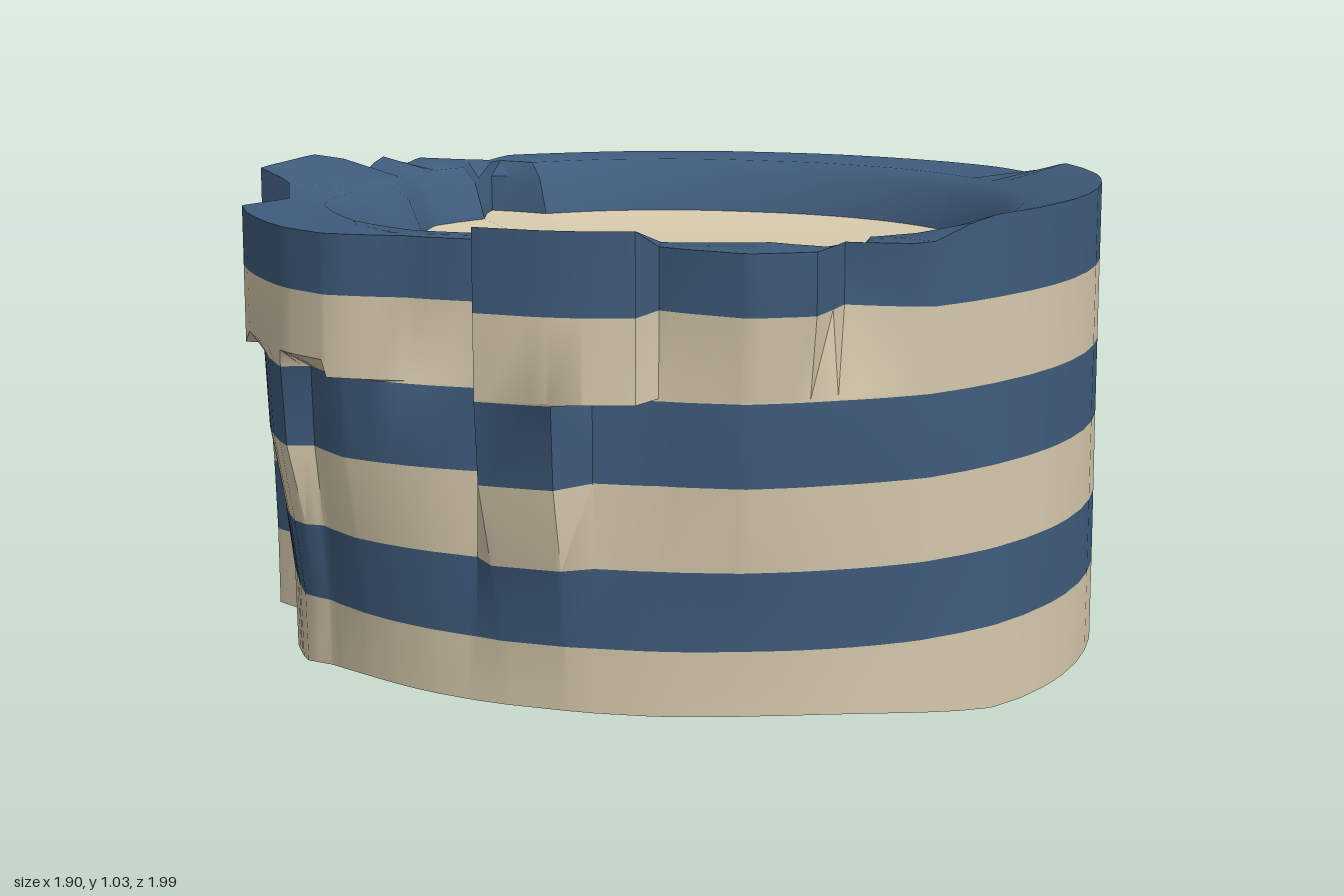
import * as THREE from 'three';
import { toCreasedNormals } from 'three/addons/utils/BufferGeometryUtils.js';

const TAU = Math.PI * 2;
const smooth = THREE.MathUtils.smoothstep;
const mix = THREE.MathUtils.lerp;

// Turns flat x, z pairs into sorted polar points [angle, radius]
function polar(flat) {
  const pts = [];
  for (let i = 0; i < flat.length; i += 2) {
    pts.push([(Math.atan2(flat[i + 1], flat[i]) + TAU) % TAU, Math.hypot(flat[i], flat[i + 1])]);
  }
  return pts.sort((a, b) => a[0] - b[0]);
}

// Radius of an outline at an angle
function radius(pts, t) {
  const n = pts.length;
  let i = pts.findIndex((p) => p[0] > t);
  if (i < 0) i = n;
  const [a0, r0] = i > 0 ? pts[i - 1] : [pts[n - 1][0] - TAU, pts[n - 1][1]];
  const [a1, r1] = i < n ? pts[i] : [pts[0][0] + TAU, pts[0][1]];
  return mix(r0, r1, (t - a0) / (a1 - a0));
}

// Outline pieces, as x, z pairs
const rightArc = [0.95, 0, 0.92, 0.25, 0.83, 0.48];
const backArc = [-0.5, -0.75, -0.25, -0.87, 0, -0.905, 0.3, -0.87, 0.6, -0.735, 0.79, -0.5, 0.915, -0.25];
const leftFrontTeeth = [-0.825, 0.513, -0.79, 0.333, -0.857, 0.196, -0.947, 0.153];
const leftBackTeeth = [-0.95, 0, -0.947, -0.148, -0.836, -0.222, -0.862, -0.37, -0.81, -0.397,
  -0.82, -0.508, -0.64, -0.525, -0.635, -0.65];
const frontLeft = [-0.16, 0.847, -0.32, 0.84, -0.487, 0.852, -0.6, 0.79, -0.76, 0.614];
const frontTooth = [0.2, 0.965, 0.03, 0.99, -0.12, 0.98];
const frontRight = [0.72, 0.65, 0.56, 0.77, 0.4, 0.86, 0.225, 0.875];

const top = polar([...rightArc, 0.72, 0.656, 0.545, 0.675, 0.53, 0.83, 0.41, 0.894, 0.216, 0.847,
  ...frontTooth, ...frontLeft, ...leftFrontTeeth, ...leftBackTeeth, ...backArc]);
const ledge = polar([...rightArc, ...frontRight, ...frontTooth, ...frontLeft,
  ...leftFrontTeeth, ...leftBackTeeth, ...backArc]);
const middle = polar([...rightArc, ...frontRight, 0.09, 0.89, 0.04, 0.985, -0.12, 0.98,
  -0.16, 0.847, -0.48, 0.81, -0.58, 0.72, -0.64, 0.74, -0.76, 0.56, -0.79, 0.48, -0.775, 0.333,
  -0.85, 0.196, -0.947, 0.153, ...leftBackTeeth, ...backArc]);
const bottom = polar([...rightArc, 0.7, 0.64, 0.4, 0.81, 0, 0.88, -0.4, 0.79, -0.56, 0.69, -0.63, 0.66, -0.7, 0.54,
  -0.745, 0.46, -0.75, 0.32, -0.83, 0.2, -0.935, 0.14, ...leftBackTeeth,
  -0.6, -0.68, -0.64, -0.7, -0.5, -0.73, -0.46, -0.87, -0.3, -0.88, -0.14, -0.89,
  -0.12, -0.99, 0, -1, 0.17, -0.99, 0.21, -0.93, 0.4, -0.915, 0.49, -0.875, 0.525, -0.745, 0.67, -0.74,
  0.72, -0.68, 0.825, -0.52, 0.92, -0.25]);
const hollow = polar([0.7, 0, 0.69, 0.2, 0.62, 0.38, 0.515, 0.5, 0.54, 0.665, 0.36, 0.62, 0.2, 0.67, 0, 0.65,
  -0.2, 0.65, -0.31, 0.65, -0.46, 0.56, -0.56, 0.44, -0.63, 0.32, -0.61, 0, -0.66, -0.2, -0.59, -0.35,
  -0.635, -0.52, -0.48, -0.49, -0.35, -0.59, -0.2, -0.65, 0, -0.67, 0.2, -0.65, 0.36, -0.59, 0.5, -0.49,
  0.6, -0.36, 0.67, -0.2]);

// Shared angles: every outline corner plus a regular spacing
const angles = [];
[...[top, middle, bottom, hollow].flat().map((p) => p[0]),
  ...Array.from({ length: 60 }, (_, i) => (i * TAU) / 60)]
  .sort((a, b) => a - b)
  .forEach((a) => { if (!angles.length || a - angles[angles.length - 1] > 0.008) angles.push(a); });

// One cross-section: radius and height given by angle
const ring = (rFn, yFn) => angles.map((t) => {
  const r = rFn(t);
  const x = r * Math.cos(t), z = r * Math.sin(t);
  return [x, typeof yFn === 'function' ? yFn(x, z) : yFn, z];
});

// Skins consecutive rings; tones[i] is the material index of strip i
function skin(rings, tones, materials, name) {
  const n = angles.length, index = [];
  const geo = new THREE.BufferGeometry();
  geo.setAttribute('position', new THREE.Float32BufferAttribute(rings.flat(2), 3));
  tones.forEach((tone, k) => {
    geo.addGroup(index.length, n * 6, tone);
    for (let i = 0; i < n; i++) {
      const j = (i + 1) % n;
      const a = k * n + i, b = a + n, c = k * n + j, d = c + n;
      index.push(a, b, c, c, b, d);
    }
  });
  geo.setIndex(index);
  const mesh = new THREE.Mesh(toCreasedNormals(geo, 0.72), materials);
  mesh.name = name;
  return mesh;
}

export function createModel() {
  const group = new THREE.Group();
  group.name = 'stripedBowl';
  const sand = new THREE.MeshStandardMaterial({ color: 0xd6c9ac });
  sand.name = 'sand';
  const blue = new THREE.MeshStandardMaterial({ color: 0x3f5c7c });
  blue.name = 'blue';
  const materials = [sand, blue];

  const blend = (w) => (t) => mix(radius(bottom, t), radius(middle, t), w);
  const rimRadius = (t) => radius(top, t);
  // Inner edge of the rim, kept inside the outer wall
  const inner = (extra) => (t) => Math.min(radius(hollow, t) + extra, radius(top, t) - 0.012 + extra * 0.06);

  // Rim rises at both sides and on the front tooth
  const rimHeight = (x, z) => 0.99 + 0.043 * Math.max(
    smooth(x, 0.7, 0.82), smooth(-x, 0.8, 0.94), smooth(z, 0.9, 0.95));
  // Foot lifts at front and back, but not on the back tooth
  const footHeight = (x, z) => (z < -0.92 ? 0 : 0.045 * smooth(Math.abs(z), 0.42, 0.8));
  // Ledge is undercut at the front left
  const ledgeHeight = (x, z) => (z > 0 && x > -0.8 && x < -0.5 ? 0.73 : 0.695);

  const foot = ring(blend(0), footHeight);

  // Striped wall with its ledge, the rim, and the shallow hollow inside
  group.add(skin([
    foot,
    ring(blend(0.05), 0.18),
    ring(blend(0.4), 0.345),
    ring(blend(0.88), 0.52),
    ring(blend(1), 0.69),
    ring((t) => radius(ledge, t), ledgeHeight),
    ring(rimRadius, 0.865),
    ring(rimRadius, rimHeight),
    ring(inner(0.08), 0.985),
    ring(inner(0.035), 0.95),
    ring(inner(0), 0.865),
    ring((t) => radius(hollow, t) * 0.88, 0.85),
    ring(() => 0.4, 0.843),
    ring(() => 0.001, 0.84),
  ], [0, 1, 0, 1, 0, 0, 1, 1, 1, 1, 0, 0, 0], materials, 'stripedWallAndHollow'));

  // Underside
  group.add(skin([
    ring(() => 0.001, 0),
    ring(() => 0.5, 0),
    foot,
  ], [0, 0], materials, 'underside'));

  return group;
}
